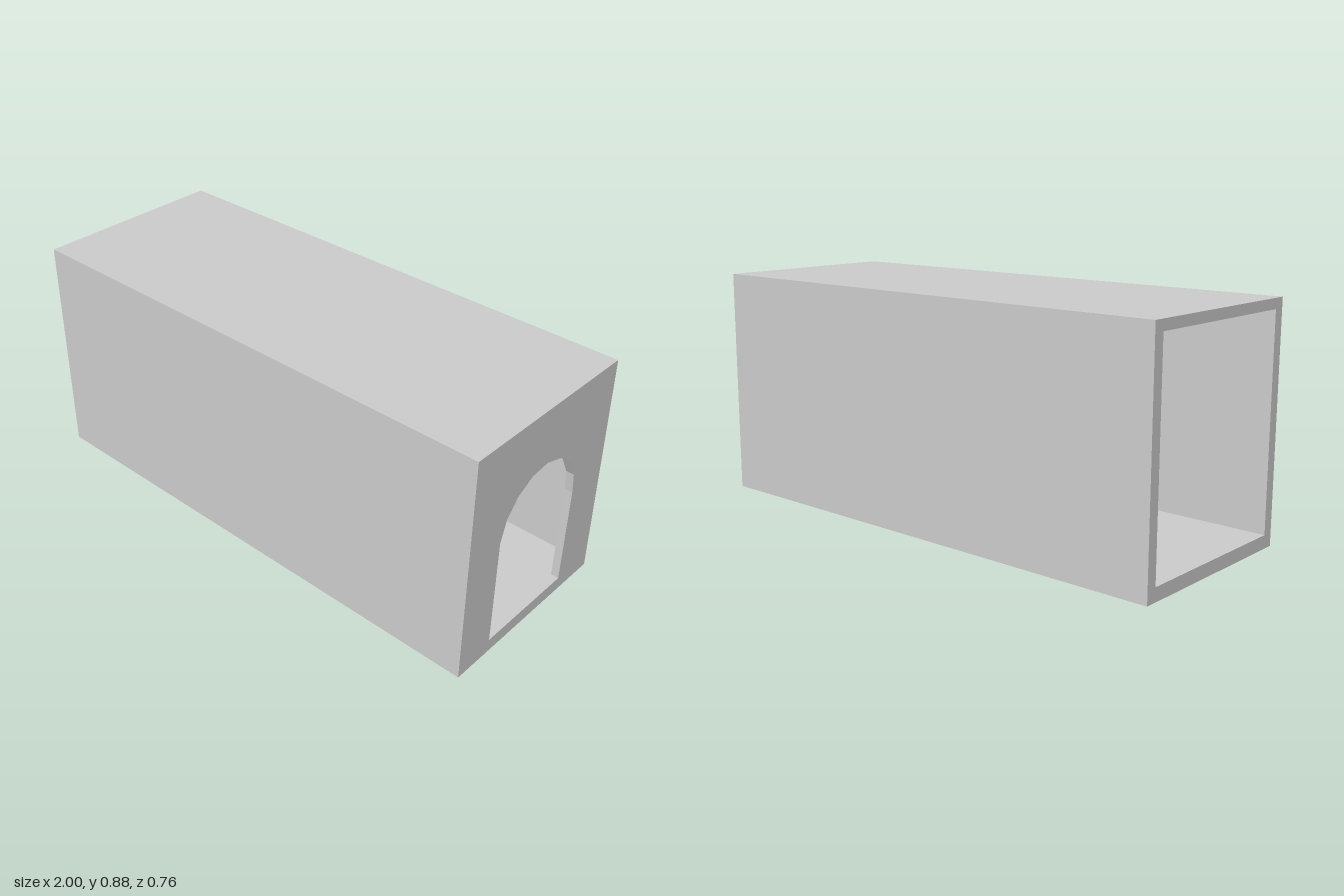
import * as THREE from 'three';

const HALF = 0.38, HEIGHT = 0.875, END = 0.03;

// Closed outline from [z, y] points; the shape's horizontal axis is -z
const outline = (Type, points) => new Type(points.map(([z, y]) => new THREE.Vector2(-z, y)));

const rect = (z, y0, y1) => [[z, y0], [-z, y0], [-z, y1], [z, y1]];

// Rectangular section with an opening, extruded along x
function section(name, opening, x0, x1) {
  const shape = outline(THREE.Shape, rect(HALF, 0, HEIGHT));
  shape.holes.push(outline(THREE.Path, opening));
  const geometry = new THREE.ExtrudeGeometry(shape, { depth: x1 - x0, bevelEnabled: false });
  geometry.rotateY(Math.PI / 2).translate(x0, 0, 0);
  const mesh = new THREE.Mesh(
    geometry,
    new THREE.MeshStandardMaterial({ color: 0xcccccc, flatShading: true })
  );
  mesh.name = name;
  return mesh;
}

export function createModel() {
  const group = new THREE.Group();
  group.name = 'tunnel';

  // Floor, roof and side walls, open at the -x end
  group.add(section('tunnelWalls', rect(0.337, 0.05, 0.837), -1, 1 - END));

  // End wall with a slightly uneven arched doorway
  const arch = [
    [0.216, 0.05], [-0.199, 0.05], [-0.206, 0.43], [-0.198, 0.51],
    [-0.16, 0.583], [-0.097, 0.633], [-0.015, 0.658], [0.067, 0.65],
    [0.14, 0.61], [0.19, 0.55], [0.215, 0.467]
  ];
  group.add(section('archedEndWall', arch, 1 - END, 1));

  return group;
}
